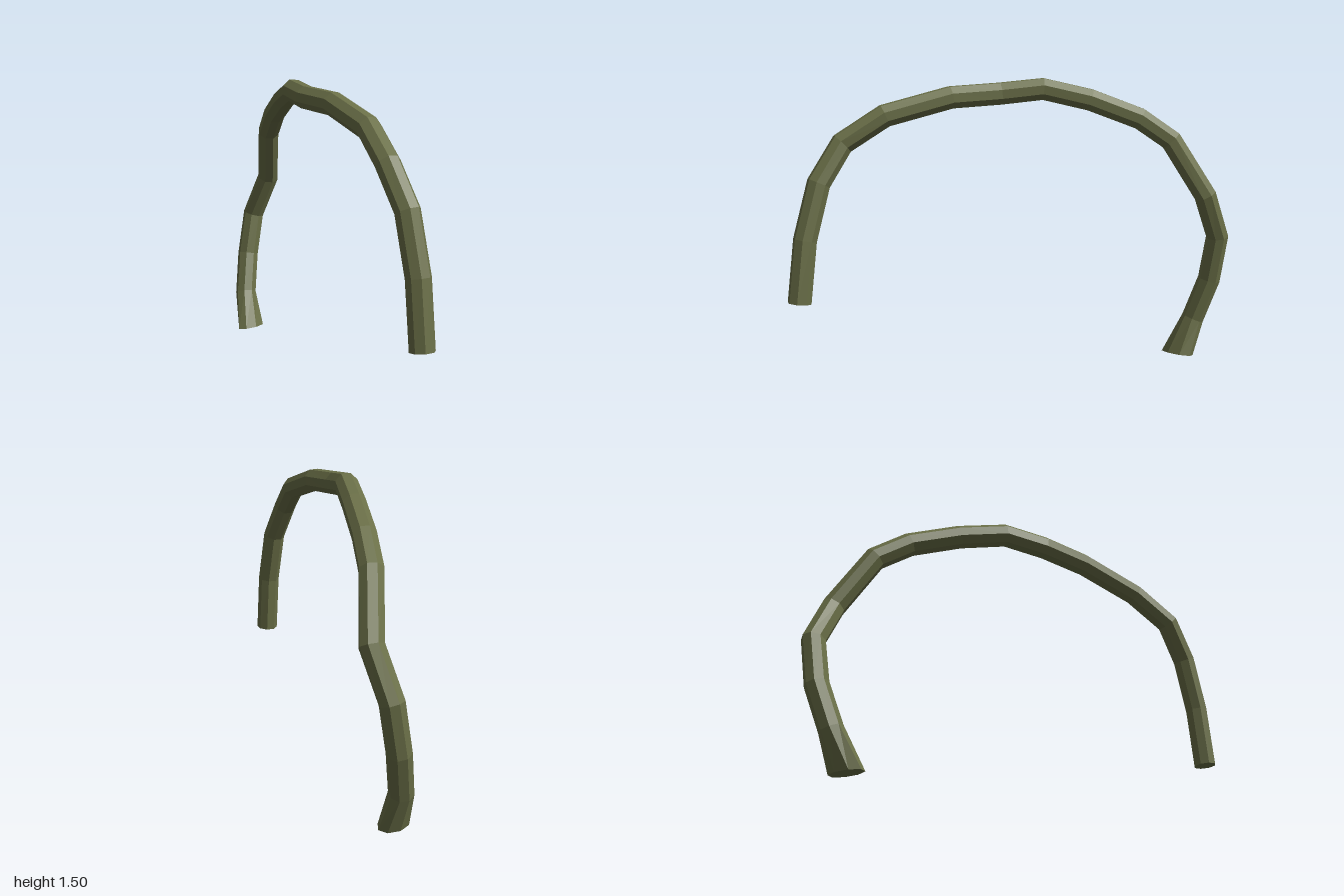
import * as THREE from 'three';

const SIDES = 8;
const RADIUS = 0.059;

// Centre line of the bent limb, from the raised free end to the flared foot
const PATH = [
  [-0.573, 0.4, 0.94], [-0.56, 0.713, 0.907], [-0.537, 0.99, 0.835],
  [-0.505, 1.18, 0.713], [-0.39, 1.315, 0.537], [-0.237, 1.403, 0.236],
  [-0.13, 1.42, -0.005], [0, 1.443, -0.185], [0.16, 1.387, -0.37],
  [0.325, 1.29, -0.57], [0.433, 1.175, -0.7], [0.571, 0.888, -0.82],
  [0.572, 0.66, -0.935], [0.522, 0.42, -0.94], [0.45, 0.2, -0.9],
  [0.406, 0.008, -0.826],
].map((p) => new THREE.Vector3(...p));

// Rings of corners carried along the path without twisting
function makeRings() {
  const last = PATH.length - 1;
  const dir = (a, b) => PATH[b].clone().sub(PATH[a]).normalize();
  const tangents = PATH.map((p, i) => {
    if (i === 0) return dir(0, 1);
    if (i === last) return new THREE.Vector3(0, -1, 0.127).normalize();
    return dir(i - 1, i).add(dir(i, i + 1)).normalize();
  });
  const normal = new THREE.Vector3(0, 0, 1).projectOnPlane(tangents[0]).normalize();
  const turn = new THREE.Quaternion();
  return PATH.map((p, i) => {
    const t = tangents[i];
    if (i > 0) normal.applyQuaternion(turn.setFromUnitVectors(tangents[i - 1], t));
    const side = t.clone().cross(normal);
    return Array.from({ length: SIDES }, (_, k) => {
      const a = (k / SIDES) * Math.PI * 2;
      const v = normal.clone().multiplyScalar(Math.cos(a) * RADIUS)
        .addScaledVector(side, Math.sin(a) * RADIUS);
      if (i === last) v.x *= 1.63; // flared foot
      return v.add(p);
    });
  });
}

function limbGeometry() {
  const rings = makeRings();
  const last = rings.length - 1;
  const points = [];
  for (let k = 0; k < SIDES; k++) {
    const n = (k + 1) % SIDES;
    for (let i = 0; i < last; i++) {
      const [a, b] = [rings[i], rings[i + 1]];
      points.push(a[k], a[n], b[n], a[k], b[n], b[k]);
    }
    // End caps
    points.push(PATH[0], rings[0][n], rings[0][k]);
    points.push(PATH[last], rings[last][k], rings[last][n]);
  }
  const geometry = new THREE.BufferGeometry().setFromPoints(points);
  geometry.computeVertexNormals();
  return geometry;
}

export function createModel() {
  const group = new THREE.Group();
  group.name = 'archedVine';
  const material = new THREE.MeshStandardMaterial({ color: 0x6b7048, flatShading: true });
  const stem = new THREE.Mesh(limbGeometry(), material);
  stem.name = 'stem';
  group.add(stem);
  return group;
}
